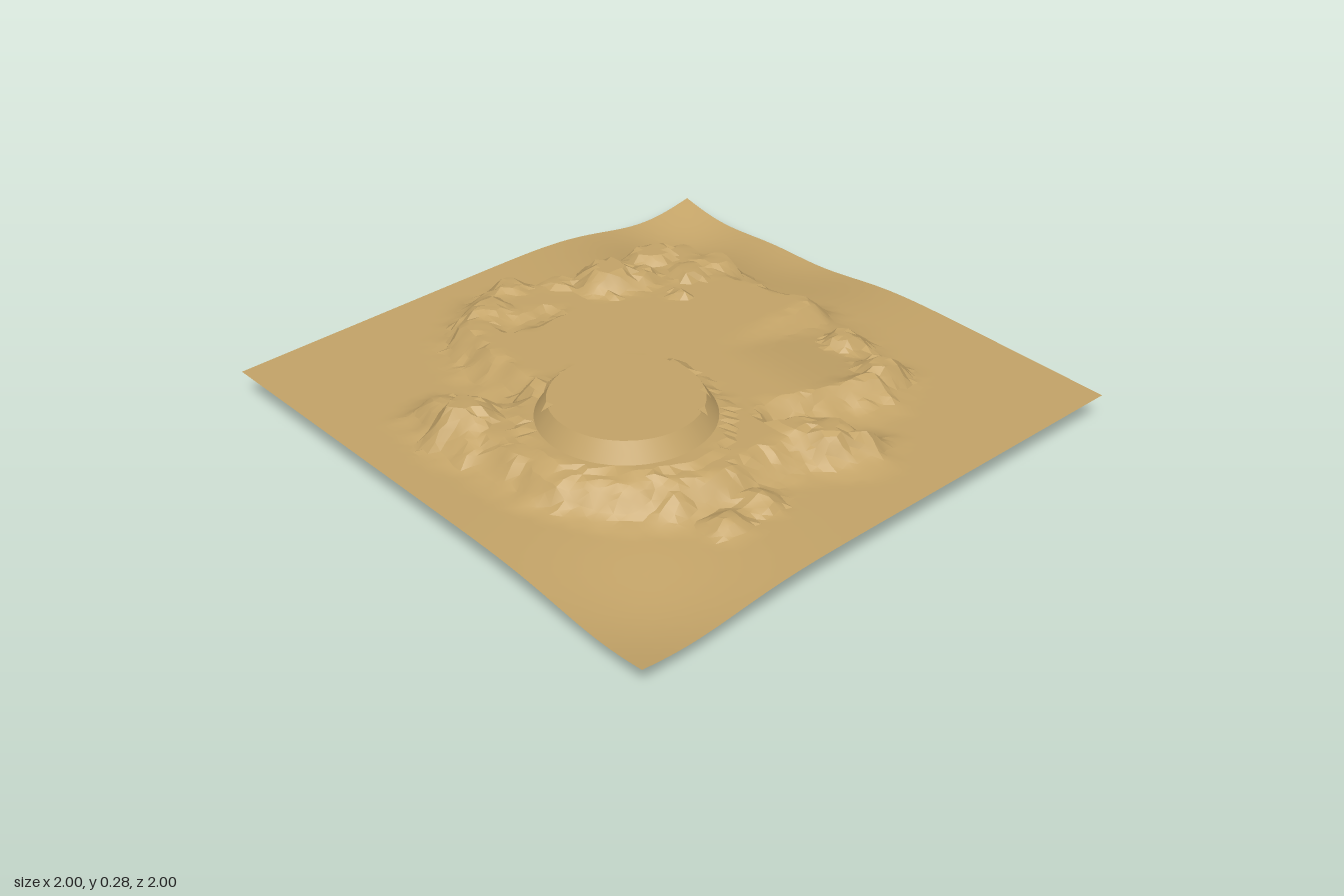
import * as THREE from 'three';
import { toCreasedNormals } from 'three/addons/utils/BufferGeometryUtils.js';

const CELLS = 76;
const MESA = { x: 0.165, z: 0.325, r: 0.25 };

// Foot of the raised plateau, seen from above (x, z)
const FOOT = [
  [0.8, -0.2], [0.74, -0.04], [0.65, 0.08], [0.66, 0.3], [0.59, 0.5], [0.45, 0.67], [0.3, 0.75],
  [0.05, 0.8], [-0.2, 0.82], [-0.4, 0.77], [-0.42, 0.62], [-0.22, 0.5], [-0.55, 0.46], [-0.7, 0.38],
  [-0.84, 0.18], [-0.8, 0.02], [-0.68, -0.1], [-0.71, -0.5], [-0.58, -0.67], [-0.3, -0.63], [0, -0.7],
  [0.25, -0.7], [0.5, -0.62], [0.59, -0.45], [0.54, -0.2], [0.52, -0.1], [0.62, -0.2], [0.72, -0.28],
];

// Flat-topped rocks: x, z, top radius, top height, side slope
const ROCKS = [
  [MESA.x, MESA.z, 0.33, 0.222, 1.6], [MESA.x, MESA.z, MESA.r, 0.285, 1.6],
  [-0.52, -0.2, 0.055, 0.275, 1.1], [-0.47, -0.3, 0.04, 0.25, 1.2], [-0.55, -0.42, 0.05, 0.235, 1.2],
  [-0.38, -0.42, 0.04, 0.24, 1.4], [-0.28, -0.32, 0.03, 0.23, 1.4], [-0.38, -0.57, 0.04, 0.22, 1.2],
  [-0.7, 0.08, 0.045, 0.225, 1.1], [-0.65, 0.22, 0.05, 0.225, 1.1], [-0.62, -0.03, 0.03, 0.225, 1.1],
  [-0.58, 0.33, 0.03, 0.21, 1.2], [-0.18, 0.68, 0.04, 0.25, 1.1], [-0.3, 0.68, 0.03, 0.2, 1],
  [-0.14, 0.42, 0.03, 0.245, 1.4], [0.64, -0.11, 0.035, 0.22, 1.3], [0.55, -0.03, 0.04, 0.22, 1.4],
  [0.25, -0.57, 0.04, 0.19, 1], [0.45, -0.52, 0.04, 0.205, 1.2], [0.68, 0.25, 0.02, 0.16, 0.7],
  [0.7, 0.4, 0.02, 0.15, 0.6],
];

// Hollows in the plain: x, z, depth, spread
const HOLLOWS = [[-0.8, -0.8, 0.115, 0.22], [0.85, 0.85, 0.055, 0.22], [-0.3, -0.95, 0.05, 0.2]];

// Ravines: x1, z1, x2, z2, half width, floor height
const RAVINES = [
  [0.6, -0.5, 0.47, -0.06, 0.035, 0.155], [-0.55, 0.49, -0.2, 0.47, 0.03, 0.15],
  [-0.5, 0.1, -0.52, 0.25, 0.03, 0.185],
];

const fract = (v) => v - Math.floor(v);
const hash = (x, z) => fract(Math.sin(x * 127.1 + z * 311.7) * 43758.5453);
const { smoothstep, lerp, clamp } = THREE.MathUtils;

// Smooth value noise in -1..1
function noise(x, z) {
  const i = Math.floor(x), j = Math.floor(z);
  const u = smoothstep(x - i, 0, 1), v = smoothstep(z - j, 0, 1);
  return 2 * lerp(lerp(hash(i, j), hash(i + 1, j), u), lerp(hash(i, j + 1), hash(i + 1, j + 1), u), v) - 1;
}

function segmentDistance(x, z, ax, az, bx, bz) {
  const dx = bx - ax, dz = bz - az;
  const t = clamp(((x - ax) * dx + (z - az) * dz) / (dx * dx + dz * dz), 0, 1);
  return Math.hypot(x - ax - dx * t, z - az - dz * t);
}

// Distance inside the plateau foot, negative outside it
function insideDistance(x, z) {
  let inside = false, best = Infinity;
  FOOT.forEach(([ax, az], i) => {
    const [bx, bz] = FOOT[(i + 1) % FOOT.length];
    best = Math.min(best, segmentDistance(x, z, ax, az, bx, bz));
    if ((az > z) !== (bz > z) && x < ((bx - ax) * (z - az)) / (bz - az) + ax) inside = !inside;
  });
  return inside ? best : -best;
}

function height(x, z) {
  // Rolling plain
  let plain = 0.116;
  for (const [hx, hz, depth, s] of HOLLOWS) {
    plain -= depth * Math.exp(-((x - hx) ** 2 + (z - hz) ** 2) / (2 * s * s));
  }

  // Plateau, with a ramp running down to the back
  const rough = noise(x * 14, z * 14) * 0.6 + noise(x * 31 + 7, z * 31) * 0.4;
  const edge = insideDistance(x, z) + rough * 0.03;
  const ramp = smoothstep(x, 0.03, 0.12) * (1 - smoothstep(x, 0.42, 0.5)) * smoothstep(-z, 0.15, 0.68);
  const top = lerp(0.207, 0.135, ramp);
  const rise = 0.2 * smoothstep(edge, -0.06, 0.04) + 0.8 * smoothstep(edge, 0.0, 0.1);
  let y = plain + Math.max(0, top - plain) * rise;

  // Ravines cut into it
  for (const [ax, az, bx, bz, w, floor] of RAVINES) {
    const d = segmentDistance(x, z, ax, az, bx, bz) + rough * 0.012;
    y = Math.min(y, Math.max(floor, plain) + Math.max(0, d - w) * 1.2);
  }

  // Rocks and the round mesa
  ROCKS.forEach(([rx, rz, r, cap, slope], i) => {
    const jag = i === 1 ? 0 : rough * 0.035;
    const d = Math.hypot(x - rx, z - rz) + jag;
    y = Math.max(y, cap - Math.max(0, d - r) * slope);
  });
  return Math.max(0, y);
}

function terrainGeometry() {
  const geo = new THREE.PlaneGeometry(2, 2, CELLS, CELLS).rotateX(-Math.PI / 2);
  const pos = geo.attributes.position;
  const step = 2 / CELLS;
  for (let i = 0; i < pos.count; i++) {
    let x = pos.getX(i), z = pos.getZ(i);
    if (Math.max(Math.abs(x), Math.abs(z)) < 0.99) {
      // Uneven grid, drawn onto the mesa's rim and wall foot
      const gx = x, gz = z;
      x += (hash(gx * 9, gz * 7) - 0.5) * step * 0.5;
      z += (hash(gz * 5, gx * 3) - 0.5) * step * 0.5;
      const r = Math.hypot(gx - MESA.x, gz - MESA.z);
      for (const ring of [MESA.r, MESA.r + 0.04]) {
        if (Math.abs(r - ring) < step * 0.6) {
          x = MESA.x + ((gx - MESA.x) * ring) / r;
          z = MESA.z + ((gz - MESA.z) * ring) / r;
        }
      }
    }
    pos.setXYZ(i, x, height(x, z), z);
  }
  geo.deleteAttribute('uv');
  return toCreasedNormals(geo, 0.35);
}

export function createModel() {
  const sand = new THREE.MeshStandardMaterial({ color: 0xc4a468, side: THREE.DoubleSide });
  sand.name = 'sand';
  const terrain = new THREE.Mesh(terrainGeometry(), sand);
  terrain.name = 'desertTerrain';
  const model = new THREE.Group();
  model.name = 'mesaLandscape';
  model.add(terrain);
  return model;
}
